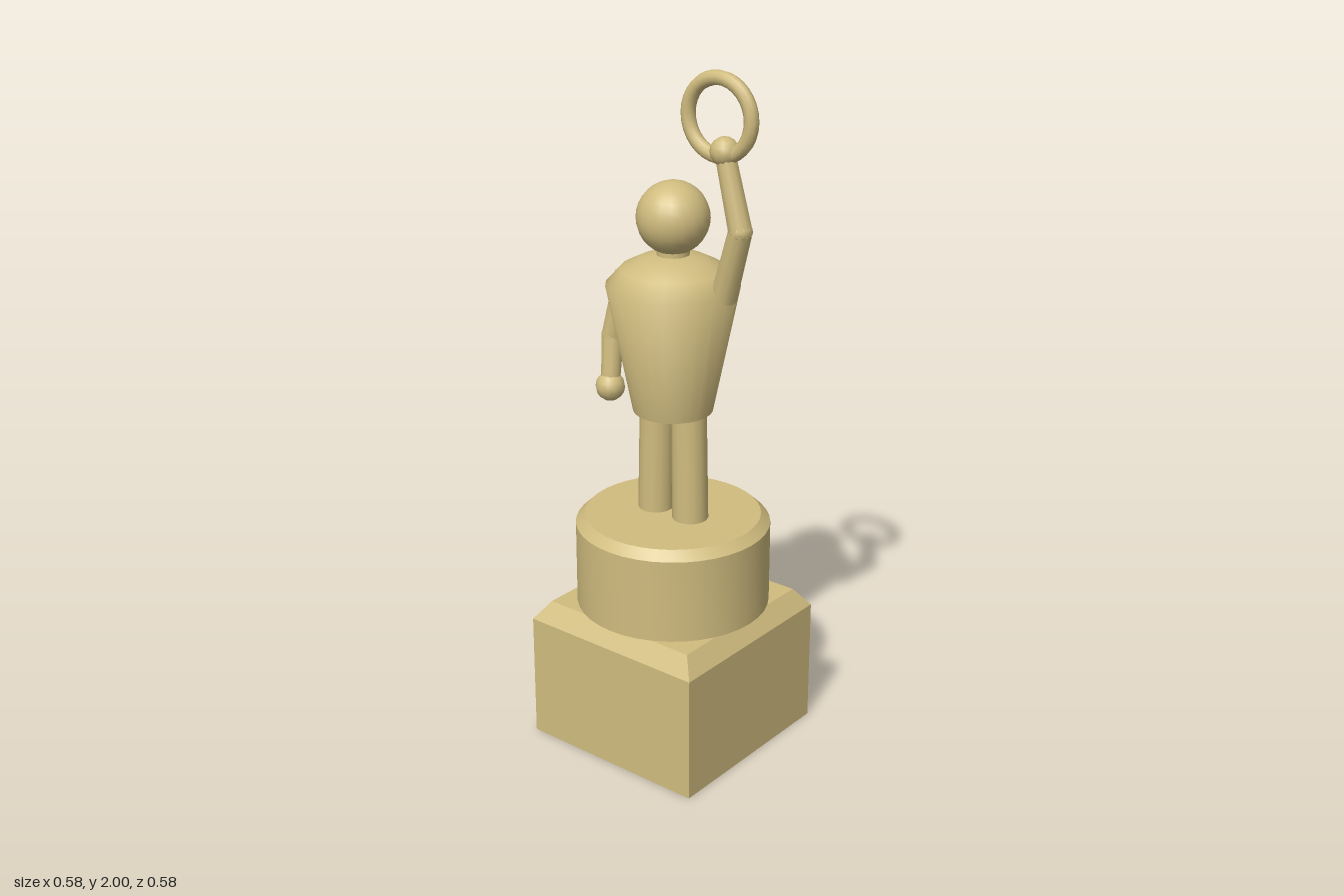
import * as THREE from 'three';
import { toCreasedNormals } from 'three/addons/utils/BufferGeometryUtils.js';

const V = (x, y, z) => new THREE.Vector3(x, y, z);

export function createModel() {
  const model = new THREE.Group();
  model.name = 'trophy';
  const gold = new THREE.MeshStandardMaterial({ color: 0xd0bc7f });
  gold.name = 'pale gold';

  const add = (name, geometry, parent = model) => {
    const mesh = new THREE.Mesh(geometry, gold);
    mesh.name = name;
    parent.add(mesh);
    return mesh;
  };

  // Turned solid from [radius, height] pairs, listed from bottom to top
  const turned = (name, profile, sides, crease) => {
    const points = profile.map(([r, y]) => new THREE.Vector2(r, y));
    return add(name, toCreasedNormals(new THREE.LatheGeometry(points, sides), crease));
  };

  // Round limb between two joints
  const limb = (name, from, to, r0, r1, parent, sides = 10) => {
    const axis = to.clone().sub(from);
    const mesh = add(name, new THREE.CylinderGeometry(r1, r0, axis.length(), sides), parent);
    mesh.position.copy(from).add(to).multiplyScalar(0.5);
    mesh.quaternion.setFromUnitVectors(V(0, 1, 0), axis.normalize());
    return mesh;
  };

  const ball = (name, center, r, parent, w = 12, h = 8) => {
    add(name, new THREE.SphereGeometry(r, w, h), parent).position.copy(center);
  };

  // Square plinth with a bevelled top
  const block = add('plinth', new THREE.BoxGeometry(0.584, 0.375, 0.584));
  block.position.y = 0.1875;
  const bevel = new THREE.CylinderGeometry(0.252 * Math.SQRT2, 0.292 * Math.SQRT2, 0.055, 4);
  bevel.rotateY(Math.PI / 4);
  add('plinthBevel', toCreasedNormals(bevel, 0.4)).position.y = 0.4025;

  // Round drum with a chamfered rim
  turned('drum', [[0, 0.43], [0.281, 0.43], [0.281, 0.677], [0.254, 0.703], [0, 0.703]], 40, 0.5);

  // Torso, neck and head
  turned('torso', [[0, 1.02], [0.113, 1.02], [0.187, 1.39], [0.145, 1.437],
    [0.092, 1.464], [0.045, 1.475], [0, 1.476]], 24, 1.1);
  limb('neck', V(0, 1.465, 0), V(0, 1.51, 0), 0.046, 0.046, model, 16);
  ball('head', V(0, 1.578, 0), 0.102, model, 20, 16);

  // Legs, slightly splayed
  for (const [name, s] of [['leftLeg', 1], ['rightLeg', -1]]) {
    limb(name, V(0.063 * s, 0.695, 0), V(0.057 * s, 1.04, 0), 0.052, 0.05, model, 14);
  }

  // Arms, each from shoulder through elbow to hand
  const arms = [
    ['leftArm', V(0.175, 1.385, 0), V(0.242, 1.585, 0.02), V(0.186, 1.79, 0.018), 0.037, 0.033, 0.04],
    ['rightArm', V(-0.165, 1.385, 0), V(-0.208, 1.2, 0.015), V(-0.2, 1.053, 0.038), 0.037, 0.033, 0.043],
  ];
  for (const [name, shoulder, elbow, hand, r0, r1, handRadius] of arms) {
    const arm = new THREE.Group();
    arm.name = name;
    model.add(arm);
    limb('upperArm', shoulder, elbow, r0, r1, arm);
    ball('elbow', elbow, r1, arm, 10, 8);
    limb('forearm', elbow, hand, r1, 0.028, arm);
    ball('hand', hand, handRadius, arm);
  }

  // Ring held aloft
  add('ring', new THREE.TorusGeometry(0.103, 0.02, 10, 32)).position.set(0.168, 1.877, 0.018);

  return model;
}
